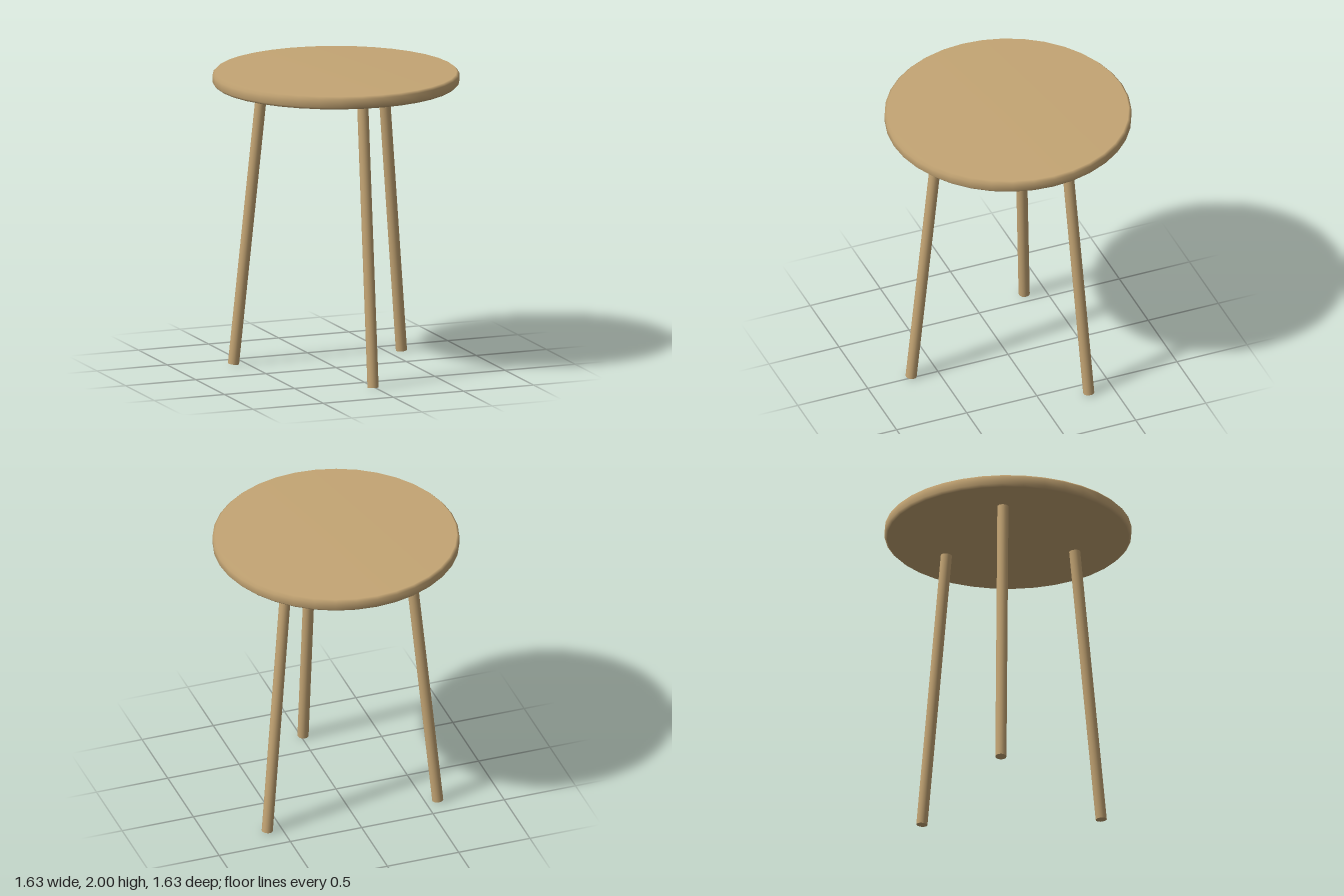
import * as THREE from 'three';

export function createModel() {
  const model = new THREE.Group();
  model.name = 'stool';

  const wood = new THREE.MeshStandardMaterial({ color: 0xc4a574 });
  wood.name = 'light wood';

  // Round seat with a small bevel on both rims, profile from bottom to top
  const R = 0.815, bevel = 0.017, bottom = 1.915, top = 2;
  const profile = [
    [0, bottom], [R - bevel, bottom], [R, bottom + bevel],
    [R, top - bevel], [R - bevel, top], [0, top],
  ].map(([x, y]) => new THREE.Vector2(x, y));
  const seat = new THREE.Mesh(new THREE.LatheGeometry(profile, 36), wood);
  seat.name = 'seat';
  model.add(seat);

  // Three splayed round legs, evenly spaced around the seat
  const up = new THREE.Vector3(0, 1, 0);
  const names = ['frontLeg', 'backRightLeg', 'backLeftLeg'];
  names.forEach((name, i) => {
    const a = THREE.MathUtils.degToRad(91.3 + i * 120);
    const at = (r, y) => new THREE.Vector3(r * Math.cos(a), y, r * Math.sin(a));
    const foot = at(0.685, 0.004), head = at(0.49, 1.914);
    const axis = head.clone().sub(foot);
    const leg = new THREE.Mesh(new THREE.CylinderGeometry(0.037, 0.037, axis.length(), 16), wood);
    leg.name = name;
    leg.position.copy(foot).add(head).multiplyScalar(0.5);
    leg.quaternion.setFromUnitVectors(up, axis.normalize());
    model.add(leg);
  });

  return model;
}
